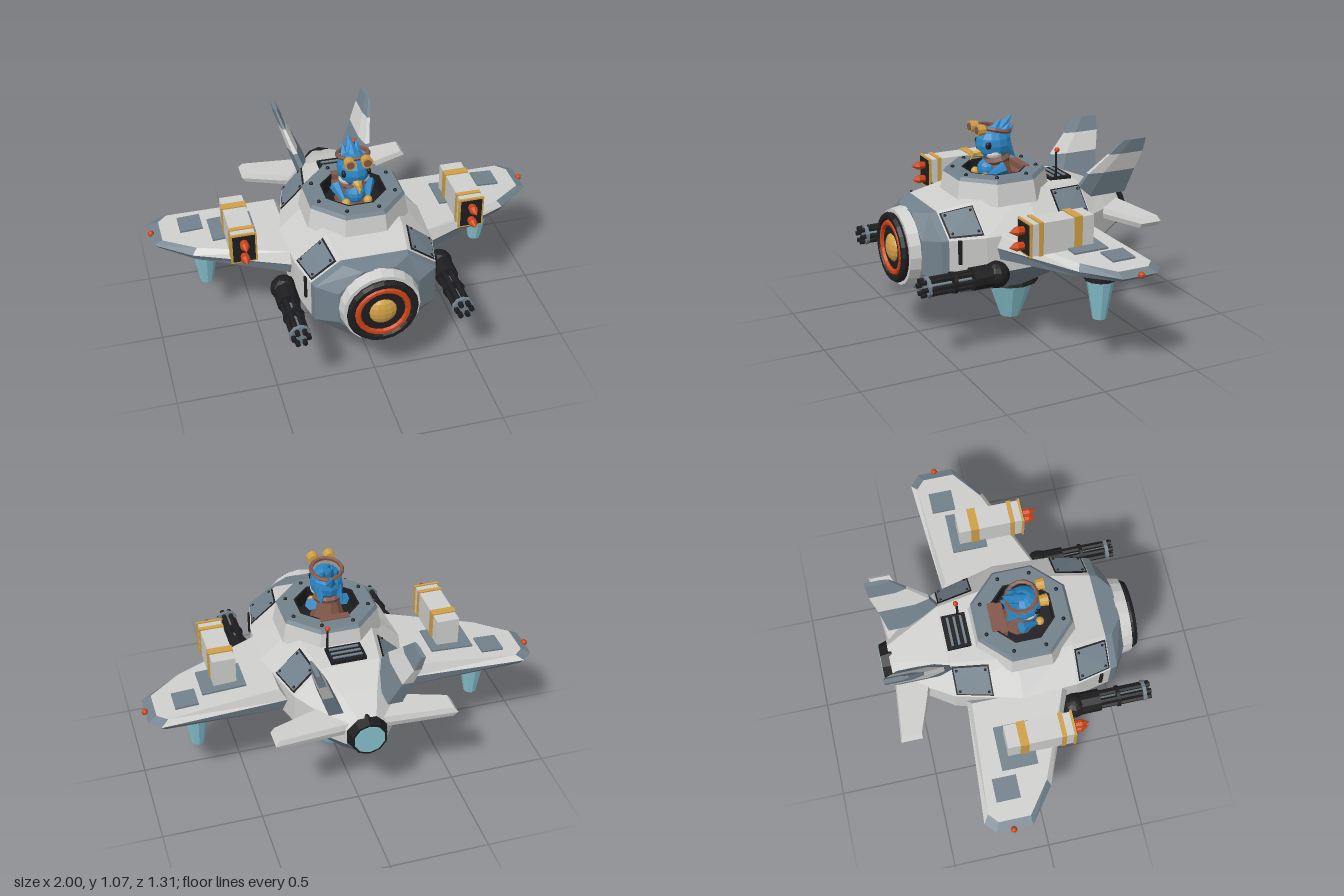
import * as THREE from 'three';

const mat = (name, color) => Object.assign(new THREE.MeshStandardMaterial({ color }), { name });

export function createModel() {
  const root = new THREE.Group();
  root.name = 'skyFighter';
  const light = mat('light grey', 0xcfd0ce), slate = mat('slate', 0x72818c), black = mat('black', 0x1e1e20);
  const gold = mat('gold', 0xcfa046), orange = mat('orange', 0xcc4416), glass = mat('pale blue', 0x86c2cf);
  const brown = mat('brown', 0x82574a), blue = mat('feather blue', 0x2b86c4), cream = mat('cream', 0xd8d0c6);

  // ---- helpers -------------------------------------------------------
  const flat = (g) => {
    const f = g.index ? g.toNonIndexed() : g;
    f.computeVertexNormals();
    return f;
  };
  const add = (name, geo, m) => {
    const mesh = new THREE.Mesh(flat(geo), m);
    mesh.name = name;
    root.add(mesh);
  };
  // adds the part at +x and its mirror image at -x
  const pair = (name, geo, m) => {
    const g = flat(geo), h = g.clone(), p = h.attributes.position;
    for (let i = 0; i < p.count; i += 3) {
      [0, 2, 1].forEach((k, n) => p.setXYZ(i + n,
        -g.attributes.position.getX(i + k), g.attributes.position.getY(i + k), g.attributes.position.getZ(i + k)));
    }
    add(name + 'Left', g, m);
    add(name + 'Right', h, m);
  };
  const quads = (list) => {
    const v = [];
    for (const [a, b, c, d] of list) v.push(...a, ...b, ...c, ...a, ...c, ...d);
    return new THREE.BufferGeometry().setAttribute('position', new THREE.Float32BufferAttribute(v, 3));
  };
  const strip = (a, b) => a.map((p, j) => { const k = (j + 1) % a.length; return [p, b[j], b[k], a[k]]; });
  const fan = (r) => r.slice(2).map((p, i) => [r[0], r[i + 1], p, p]);
  const box = (w, h, d, x, y, z) => new THREE.BoxGeometry(w, h, d).translate(x, y, z);
  const ball = (r, x, y, z, sx = 1, sy = 1, sz = 1) =>
    new THREE.SphereGeometry(r, 12, 8).scale(sx, sy, sz).translate(x, y, z);
  const cylY = (rt, rb, h, n, x, y, z) => new THREE.CylinderGeometry(rt, rb, h, n).translate(x, y, z);
  const cylZ = (rf, rb, d, n, x, y, z) => new THREE.CylinderGeometry(rf, rb, d, n).rotateX(Math.PI / 2).translate(x, y, z);
  const spike = (from, to, r, n = 6) => {
    const a = new THREE.Vector3(...from), d = new THREE.Vector3(...to).sub(a), len = d.length();
    return new THREE.ConeGeometry(r, len, n).translate(0, len / 2, 0)
      .applyQuaternion(new THREE.Quaternion().setFromUnitVectors(new THREE.Vector3(0, 1, 0), d.normalize()))
      .translate(...from);
  };

  // ---- hull: z, bottom y, bottom half width, chine y, half width, shoulder y, top y, top half width
  const sections = [
    [0.555, 0.28, 0.08, 0.39, 0.2, 0.56, 0.67, 0.08],
    [0.495, 0.25, 0.13, 0.38, 0.3, 0.58, 0.68, 0.16],
    [0.46, 0.245, 0.135, 0.38, 0.31, 0.58, 0.685, 0.165],
    [0.28, 0.23, 0.15, 0.39, 0.35, 0.58, 0.715, 0.19],
    [0, 0.225, 0.16, 0.4, 0.365, 0.58, 0.735, 0.2],
    [-0.33, 0.275, 0.12, 0.42, 0.28, 0.58, 0.72, 0.15],
    [-0.48, 0.34, 0.08, 0.44, 0.185, 0.57, 0.665, 0.09],
    [-0.61, 0.41, 0.045, 0.465, 0.1, 0.55, 0.605, 0.045]];
  const ringOf = ([z, yb, bw, yl, w, yu, yt, tw]) => {
    const half = [[bw, yb, z], [w, yl, z], [w, yu, z], [tw, yt, z]];
    return [...half, ...half.map(([x, y]) => [-x, y, z]).reverse()];
  };
  const upper = [], lower = [];
  sections.slice(1).forEach((s, i) => strip(ringOf(sections[i]), ringOf(s)).forEach((q, j) =>
    (i < 2 || j === 0 || j > 5 ? lower : upper).push(q)));
  add('upperHull', quads(upper), light);
  add('lowerHull', quads([...lower, ...fan(ringOf(sections[0]))]), slate);

  // hull access panels on the shoulders
  const at = (z) => {
    const i = sections.findIndex((s) => s[0] <= z), a = sections[i - 1], b = sections[i];
    return a.map((v, k) => v + (b[k] - v) * (z - a[0]) / (b[0] - a[0]));
  };
  const onShoulder = (z, t, off) => {
    const [, , , , w, yu, yt, tw] = at(z), n = Math.hypot(yt - yu, w - tw);
    return [w + (tw - w) * t + off * (yt - yu) / n, yu + (yt - yu) * t + off * (w - tw) / n, z];
  };
  const patch = (z0, z1, t0, t1, o) =>
    quads([[onShoulder(z0, t0, o), onShoulder(z1, t0, o), onShoulder(z1, t1, o), onShoulder(z0, t1, o)]]);
  for (const [z0, z1] of [[0.455, 0.29], [-0.14, -0.32]]) {
    pair('panelSeal', patch(z0, z1, 0.06, 0.9, 0.006), black);
    pair('panel', patch(z0 - 0.007, z1 + 0.007, 0.1, 0.86, 0.011), slate);
    for (const z of [z0 - 0.02, z1 + 0.02]) for (const t of [0.18, 0.78])
      pair('panelBolt', ball(0.007, ...onShoulder(z, t, 0.012)), black);
  }
  pair('sideRail', box(0.014, 0.12, 0.016, 0.325, 0.52, 0.41), black);

  // ---- nose intake ---------------------------------------------------
  add('noseCollar', cylZ(0.19, 0.2, 0.06, 20, 0, 0.475, 0.58), light);
  add('noseDisc', cylZ(0.165, 0.178, 0.03, 20, 0, 0.475, 0.612), black);
  add('noseTyre', new THREE.TorusGeometry(0.157, 0.02, 6, 20).translate(0, 0.475, 0.625), black);
  add('noseRing', new THREE.TorusGeometry(0.124, 0.015, 6, 20).translate(0, 0.475, 0.628), orange);
  add('noseDome', ball(0.072, 0, 0.475, 0.62, 1, 1, 0.48), gold);

  // ---- tail nozzle ---------------------------------------------------
  add('tailNozzle', cylZ(0.108, 0.09, 0.06, 10, 0, 0.507, -0.623), black);
  add('tailGlow', cylZ(0.078, 0.078, 0.006, 10, 0, 0.507, -0.653), glass);

  // ---- cockpit -------------------------------------------------------
  const cz = 0.07;
  const oct = (a, y) => Array.from({ length: 8 }, (_, i) => {
    const t = (i + 0.5) * Math.PI / 4, r = a / Math.cos(Math.PI / 8);
    return [r * Math.cos(t), y, cz - r * Math.sin(t)];
  });
  add('cockpitWall', quads(strip(oct(0.235, 0.8), oct(0.255, 0.69))), light);
  add('cockpitRim', quads([...strip(oct(0.15, 0.815), oct(0.225, 0.815)), ...strip(oct(0.225, 0.815), oct(0.238, 0.798))]), slate);
  add('cockpitLining', quads([...strip(oct(0.145, 0.738), oct(0.145, 0.817)), ...strip(oct(0.145, 0.817), oct(0.153, 0.817)),
    ...fan(oct(0.15, 0.738))]), black);
  for (const [x, , z] of oct(0.192, 0)) add('rimBolt', ball(0.01, x, 0.817, z), black);
  add('headrest', box(0.15, 0.06, 0.04, 0, 0.79, -0.07), brown);
  add('seatBack', box(0.16, 0.06, 0.05, 0, 0.76, -0.04), brown);

  // vent and aerial behind the cockpit
  add('vent', box(0.18, 0.02, 0.12, 0, 0.727, -0.26), black);
  for (let i = 0; i < 3; i++) add('ventSlat', box(0.15, 0.008, 0.012, 0, 0.739, -0.225 - i * 0.033), slate);
  add('aerial', cylY(0.005, 0.007, 0.15, 6, 0.085, 0.8, -0.235), black);
  add('aerialTip', ball(0.013, 0.085, 0.88, -0.24), orange);

  // ---- wings and tailplanes -------------------------------------------
  const slab = (outline, [ox, oz], kTop, kBot, yTop, yBot) => {
    const ring = (k, y) => outline.map(([x, z]) => {
      const px = ox + (x - ox) * k;
      return [px, y(px), oz + (z - oz) * k];
    });
    const t = ring(kTop, yTop), m = ring(1, (x) => (yTop(x) + yBot(x)) / 2), b = ring(kBot, yBot);
    return { top: fan(t), edge: strip(t, m), under: [...strip(m, b), ...fan([...b].reverse())] };
  };
  const wingTop = (x) => 0.6 - 0.052 * x, wingBot = (x) => 0.435 + 0.078 * x;
  const wing = slab([[0.3, 0.25], [0.81, 0.04], [0.985, -0.09], [0.985, -0.27], [0.93, -0.32], [0.3, -0.275]],
    [0.6, -0.1], 0.88, 0.93, wingTop, wingBot);
  const tipEdge = (q, j) => j >= 1 && j <= 3;
  pair('wingTop', quads([...wing.top, ...wing.edge.filter((q, j) => !tipEdge(q, j))]), light);
  pair('wingTip', quads(wing.edge.filter(tipEdge)), slate);
  pair('wingUnderside', quads(wing.under), slate);
  pair('wingLamp', ball(0.016, 0.985, 0.535, -0.185), orange);
  pair('outerWingPlate', box(0.115, 0.009, 0.12, 0, 0, 0).rotateZ(-0.05).translate(0.787, 0.565, -0.18), slate);
  pair('innerWingPlate', box(0.22, 0.009, 0.18, 0, 0, 0).rotateZ(-0.05).translate(0.59, 0.576, -0.09), slate);

  const tail = slab([[0.06, -0.4], [0.25, -0.455], [0.45, -0.525], [0.45, -0.635], [0.06, -0.6]], [0.25, -0.54],
    0.9, 0.9, (x) => 0.575 + 0.01 * x, (x) => 0.515 + 0.03 * x);
  pair('tailplane', quads([...tail.top, ...tail.edge, ...tail.under]), light);

  // leaning fins in three colour bands: y, front z, back z, centre x, half thickness
  const fin = [[0.937, -0.53, -0.652, 0.25, 0.011], [0.865, -0.457, -0.645, 0.227, 0.018],
    [0.77, -0.357, -0.615, 0.193, 0.027], [0.64, -0.29, -0.585, 0.145, 0.036]]
    .map(([y, f, b, x, h]) => [[x - h * 0.4, y, f], [x + h * 0.4, y, f], [x + h, y, f + (b - f) * 0.3],
      [x + h, y, b], [x - h, y, b], [x - h, y, f + (b - f) * 0.3]]);
  ['finTip', 'finMiddle', 'finBase'].forEach((name, i) =>
    pair(name, quads([...strip(fin[i], fin[i + 1]), ...(i ? [] : fan(fin[0]))]), i === 1 ? light : slate));

  // ---- lift thrusters ------------------------------------------------
  add('bellyThrusterRing', cylY(0.135, 0.148, 0.04, 12, 0, 0.218, -0.018), black);
  add('bellyThruster', cylY(0.124, 0.054, 0.2, 10, 0, 0.1, -0.018), glass);
  pair('wingThrusterRing', cylY(0.074, 0.078, 0.05, 12, 0.73, 0.465, -0.122), black);
  pair('wingThruster', cylY(0.068, 0.034, 0.2, 10, 0.73, 0.34, -0.122), glass);

  // ---- rocket pods -----------------------------------------------------
  const px = 0.578;
  pair('rocketPod', box(0.115, 0.155, 0.335, px, 0.645, 0.03), light);
  for (const z of [0.142, -0.054]) pair('podStrap', box(0.124, 0.165, z > 0 ? 0.022 : 0.042, px, 0.646, z), gold);
  pair('podFrame', box(0.13, 0.165, 0.012, px, 0.646, 0.196), gold);
  pair('podMouth', box(0.11, 0.147, 0.006, px, 0.646, 0.202), black);
  for (const y of [0.606, 0.682]) {
    pair('rocketBody', cylZ(0.023, 0.02, 0.035, 8, px, y, 0.222), orange);
    pair('rocketTip', spike([px, y, 0.239], [px, y, 0.28], 0.023, 8), orange);
  }

  // ---- rotary guns -----------------------------------------------------
  const gx = 0.403, gy = 0.41;
  pair('gunMount', ball(0.066, gx, gy, 0.258), black);
  pair('gunArm', box(0.1, 0.05, 0.06, 0.355, 0.415, 0.25), black);
  pair('gunHousing', cylZ(0.057, 0.057, 0.1, 10, gx, gy, 0.34), black);
  for (let i = 0; i < 6; i++) {
    const t = i * Math.PI / 3;
    pair('gunBarrel', cylZ(0.013, 0.013, 0.27, 6, gx + 0.036 * Math.cos(t), gy + 0.036 * Math.sin(t), 0.52), black);
  }
  pair('gunAxle', cylZ(0.014, 0.014, 0.24, 6, gx, gy, 0.5), slate);
  for (const z of [0.485, 0.62]) pair('gunClamp', cylZ(0.054, 0.054, 0.018, 10, gx, gy, z), z > 0.5 ? slate : black);

  // ---- bird pilot ------------------------------------------------------
  add('pilotJacket', cylY(0.05, 0.09, 0.13, 10, 0, 0.805, 0.055), brown);
  add('pilotCollar', new THREE.TorusGeometry(0.055, 0.02, 6, 10).rotateX(Math.PI / 2 + 0.2).translate(0, 0.86, 0.06), brown);
  add('pilotChest', ball(0.05, 0, 0.81, 0.11), blue);
  pair('pilotArm', spike([0.085, 0.83, 0.05], [0.05, 0.77, 0.17], 0.032), blue);
  pair('pilotHand', ball(0.022, 0.055, 0.785, 0.15), gold);
  add('pilotHead', ball(0.088, 0, 0.935, 0.075, 0.93, 1, 1.05), blue);
  add('crestFront', spike([0, 0.98, 0.085], [0, 1.06, 0.03], 0.042), blue);
  add('crestTop', spike([0, 0.98, 0.055], [0, 1.072, -0.03], 0.045), blue);
  add('crestBack', spike([0, 0.95, 0.03], [0, 1.02, -0.04], 0.045), blue);
  pair('crestSide', spike([0.03, 0.97, 0.05], [0.035, 1.045, -0.005], 0.035), blue);
  pair('napeFeather', spike([0.04, 0.93, 0.03], [0.055, 0.865, -0.02], 0.035), blue);
  pair('cheek', ball(0.04, 0.038, 0.893, 0.09, 1, 0.75, 1.1), cream);
  add('beak', spike([0, 0.9, 0.125], [0, 0.885, 0.212], 0.038), gold);
  add('beakHook', spike([0, 0.898, 0.18], [0, 0.86, 0.203], 0.02), gold);
  pair('eye', ball(0.019, 0.062, 0.942, 0.13, 0.6, 1, 0.9), black);
  add('goggleStrap', new THREE.TorusGeometry(0.077, 0.011, 5, 14).rotateX(Math.PI / 2 - 0.2).translate(0, 1.013, 0.067), brown);
  pair('goggle', cylZ(0.03, 0.026, 0.04, 10, 0.042, 1.022, 0.165), gold);
  pair('goggleLens', cylZ(0.02, 0.02, 0.005, 10, 0.042, 1.022, 0.186), brown);
  return root;
}
